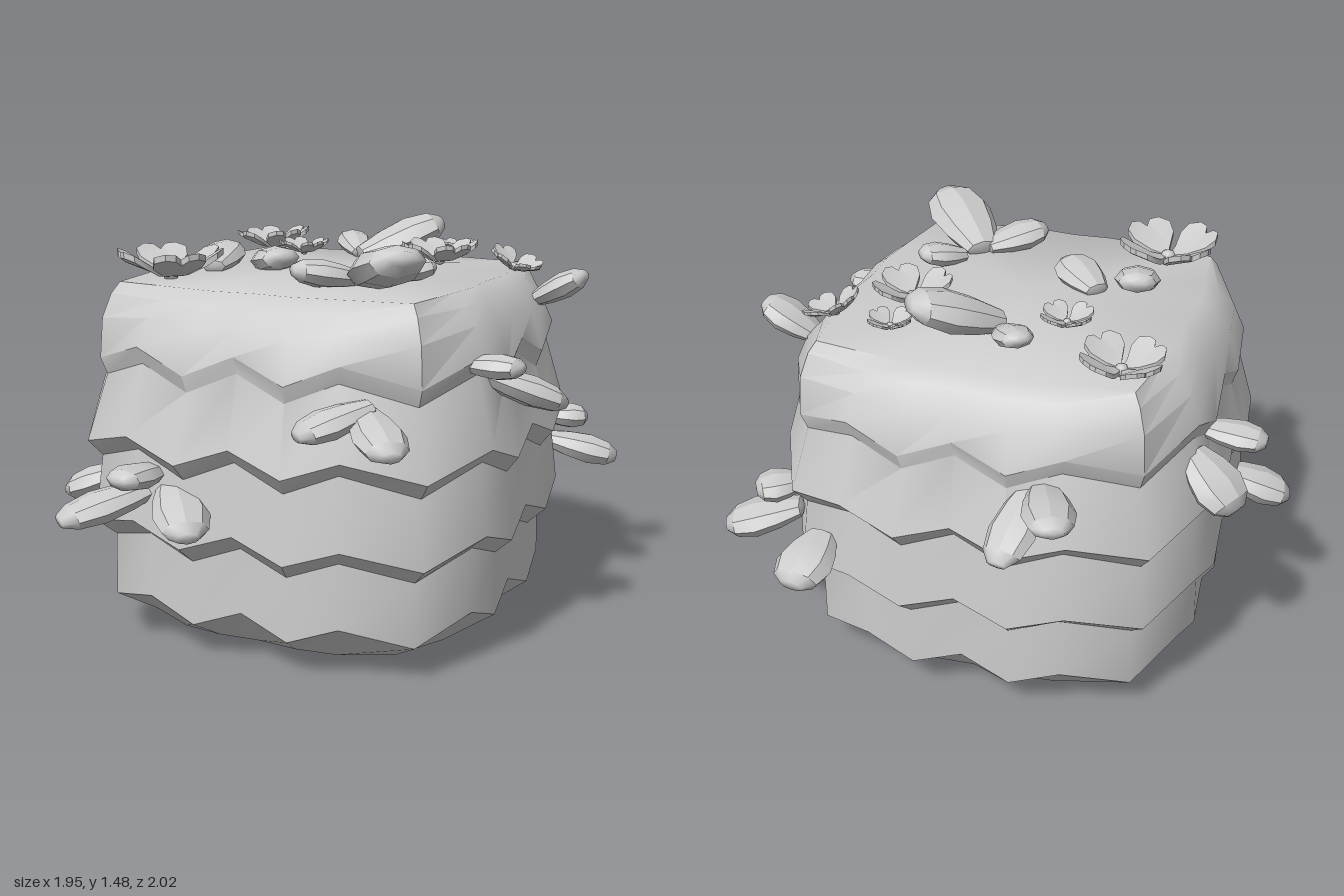
import * as THREE from 'three';
import { toCreasedNormals } from 'three/addons/utils/BufferGeometryUtils.js';

const material = new THREE.MeshStandardMaterial({ color: 0xcccccc, side: THREE.DoubleSide });
const UP = new THREE.Vector3(0, 1, 0);

// One side of the rounded-square plan, corner first; turned four times for the full ring
const PLAN = [[-0.81, 0.81], [-0.5, 0.97], [-0.25, 1], [0, 0.98], [0.25, 1], [0.5, 0.97]];

function ringPoints([size, y, zigzag, corner = 1]) {
  const points = [];
  for (let side = 0; side < 4; side++) {
    PLAN.forEach(([px, pz], i) => {
      const s = size * (i === 0 ? corner : 1);
      const p = new THREE.Vector3(px * s, y + (i % 2 ? zigzag : -zigzag), pz * s);
      p.applyAxisAngle(UP, side * Math.PI / 2);
      p.x += 0.02;
      points.push(p);
    });
  }
  return points;
}

// Layered body; each ring is half width, height, zigzag amount, corner fullness
function bodyGeometry() {
  const rings = [
    [0, 0, 0],
    [0.61, 0.05, 0],
    [0.74, 0.165, 0.035],
    [0.735, 0.4, 0.035],
    [0.8, 0.46, 0.035],
    [0.77, 0.71, 0.04],
    [0.815, 0.765, 0.037],
    [0.745, 1.01, 0.04],
    [0.765, 1.07, 0.04],
    [0.725, 1.19, 0.015, 1.04],
    [0.67, 1.26, 0, 1.08],
    [0.615, 1.3, 0, 1.13],
    [0, 1.33, 0],
  ].map(ringPoints);
  const positions = [];
  const triangle = (...corners) => corners.forEach((p) => positions.push(p.x, p.y, p.z));
  const last = rings.length - 2;
  for (let j = 0; j <= last; j++) {
    const low = rings[j], high = rings[j + 1];
    for (let i = 0; i < low.length; i++) {
      const n = (i + 1) % low.length;
      // the first and last bands are fans around a centre point
      if (j > 0) triangle(low[i], low[n], high[n]);
      if (j < last) triangle(low[i], high[n], high[i]);
    }
  }
  const geometry = new THREE.BufferGeometry();
  geometry.setAttribute('position', new THREE.Float32BufferAttribute(positions, 3));
  return toCreasedNormals(geometry, 0.62);
}

// Blunt, faceted leaf of unit length along y
const leafGeometry = toCreasedNormals(new THREE.LatheGeometry(
  [[0, -0.05], [0.26, 0], [0.42, 0.3], [0.5, 0.6], [0.4, 0.86], [0.2, 0.99], [0, 1]]
    .map(([r, y]) => new THREE.Vector2(r, y)), 8), 0.6);

function leaf(base, tip, width) {
  const dir = tip.clone().sub(base);
  const length = dir.length();
  dir.normalize();
  const side = new THREE.Vector3().crossVectors(dir, UP).normalize();
  const normal = new THREE.Vector3().crossVectors(side, dir);
  const mesh = new THREE.Mesh(leafGeometry, material);
  mesh.quaternion.setFromRotationMatrix(new THREE.Matrix4().makeBasis(side, dir, normal));
  mesh.position.copy(base);
  mesh.scale.set(width, length, width * 0.55);
  mesh.name = 'leaf';
  return mesh;
}

// Leaves rooted in one wall: along and height of the base, the same of the tip, reach, width
function wallLeaves(name, turn, list) {
  const group = new THREE.Group();
  group.name = name;
  group.rotation.y = turn * Math.PI / 2;
  list.forEach(([u0, y0, u1, y1, reach, width]) => group.add(
    leaf(new THREE.Vector3(u0, y0, 0.7), new THREE.Vector3(u1, y1, reach), width)));
  return group;
}

// Leaves lying on top: x and z of the base, x, z and rise of the tip, width
function topLeaves(list) {
  const group = new THREE.Group();
  group.name = 'topLeaves';
  list.forEach(([x0, z0, x1, z1, rise, width]) => group.add(
    leaf(new THREE.Vector3(x0, 1.33, z0), new THREE.Vector3(x1, 1.33 + rise, z1), width)));
  return group;
}

// Notched petal along +x, cupped upward
function makePetal() {
  const half = [[0.3, 0.22], [0.58, 0.47], [0.8, 0.5], [0.97, 0.32], [0.99, 0.12]];
  const outline = [[0, 0], ...half.map(([x, y]) => [x, -y]), [0.88, 0], ...half.reverse()];
  const shape = new THREE.Shape(outline.map(([x, y]) => new THREE.Vector2(x, y)));
  const geometry = new THREE.ExtrudeGeometry(shape, { depth: 0.12, bevelEnabled: false });
  geometry.rotateX(-Math.PI / 2);
  const p = geometry.attributes.position;
  for (let i = 0; i < p.count; i++) {
    p.setY(i, p.getY(i) + 0.42 * (p.getX(i) ** 2 + p.getZ(i) ** 2));
  }
  return toCreasedNormals(geometry, 0.6);
}
const petalGeometry = makePetal();
const budGeometry = new THREE.SphereGeometry(0.17, 8, 4);

function flower(x, y, z, radius, turn, tilt = 0) {
  const group = new THREE.Group();
  group.name = 'flower';
  for (let i = 0; i < 4; i++) {
    const petal = new THREE.Mesh(petalGeometry, material);
    petal.name = 'petal';
    petal.rotation.y = Math.PI / 4 + i * Math.PI / 2 + turn;
    group.add(petal);
  }
  const bud = new THREE.Mesh(budGeometry, material);
  bud.name = 'flowerCentre';
  bud.position.y = 0.08;
  group.add(bud);
  group.position.set(x, y, z);
  group.rotation.z = tilt;
  group.scale.setScalar(radius);
  return group;
}

export function createModel() {
  const model = new THREE.Group();
  model.name = 'floweringBush';
  const body = new THREE.Mesh(bodyGeometry(), material);
  body.name = 'layeredBody';
  model.add(body);

  model.add(wallLeaves('frontLeaves', 0, [
    [-0.33, 0.61, -0.54, 0.53, 0.99, 0.2],
    [-0.32, 0.67, -0.32, 0.69, 0.95, 0.17],
    [-0.26, 0.63, -0.06, 0.52, 0.93, 0.2],
    [0.49, 0.98, 0.33, 0.91, 0.91, 0.18],
    [0.47, 0.96, 0.66, 0.88, 0.91, 0.18],
  ]));
  model.add(wallLeaves('leftLeaves', 1, [
    [0.33, 1.19, 0.33, 1.3, 0.9, 0.18],
    [-0.38, 1.08, -0.38, 1.08, 0.9, 0.16],
    [-0.27, 1.03, -0.09, 0.91, 0.96, 0.2],
    [0.57, 0.6, 0.67, 0.53, 0.96, 0.21],
    [0.55, 0.7, 0.64, 0.69, 0.84, 0.18],
  ]));
  model.add(wallLeaves('backLeaves', 2, [
    [-0.55, 0.59, -0.57, 0.52, 0.93, 0.22],
    [0.28, 0.97, 0.41, 1.01, 1, 0.18],
    [0.25, 0.97, 0.21, 0.82, 0.97, 0.17],
  ]));
  model.add(wallLeaves('rightLeaves', 3, [
    [-0.2, 1, -0.2, 0.98, 0.93, 0.16],
    [-0.35, 0.98, -0.43, 0.83, 0.88, 0.23],
    [0.29, 0.52, 0.36, 0.42, 0.96, 0.22],
  ]));
  model.add(topLeaves([
    [0.29, 0.29, 0.54, 0.55, 0.11, 0.25],
    [0.02, -0.27, 0.27, -0.48, 0.12, 0.25],
    [-0.33, 0.27, -0.38, 0.06, 0.05, 0.17],
    [-0.23, 0.07, -0.07, 0.21, 0.04, 0.18],
    [0.34, 0.22, 0.47, 0.1, 0.03, 0.15],
    [0.28, 0.32, 0.1, 0.48, 0.04, 0.18],
    [-0.01, -0.33, -0.13, -0.49, 0.05, 0.14],
  ]));

  // Flowers: position, radius, turn, tilt
  const flowers = [
    [-0.47, 1.31, -0.47, 0.145, 0.1, 0.05],
    [-0.4, 1.31, 0.45, 0.185, 0],
    [-0.21, 1.33, -0.23, 0.095, 0.15],
    [0.37, 1.33, -0.21, 0.14, 0.05],
    [0.35, 1.34, -0.46, 0.08, 0.3],
    [0.61, 1.3, -0.35, 0.105, 0.2, -0.35],
  ];
  flowers.forEach((args) => model.add(flower(...args)));
  return model;
}
